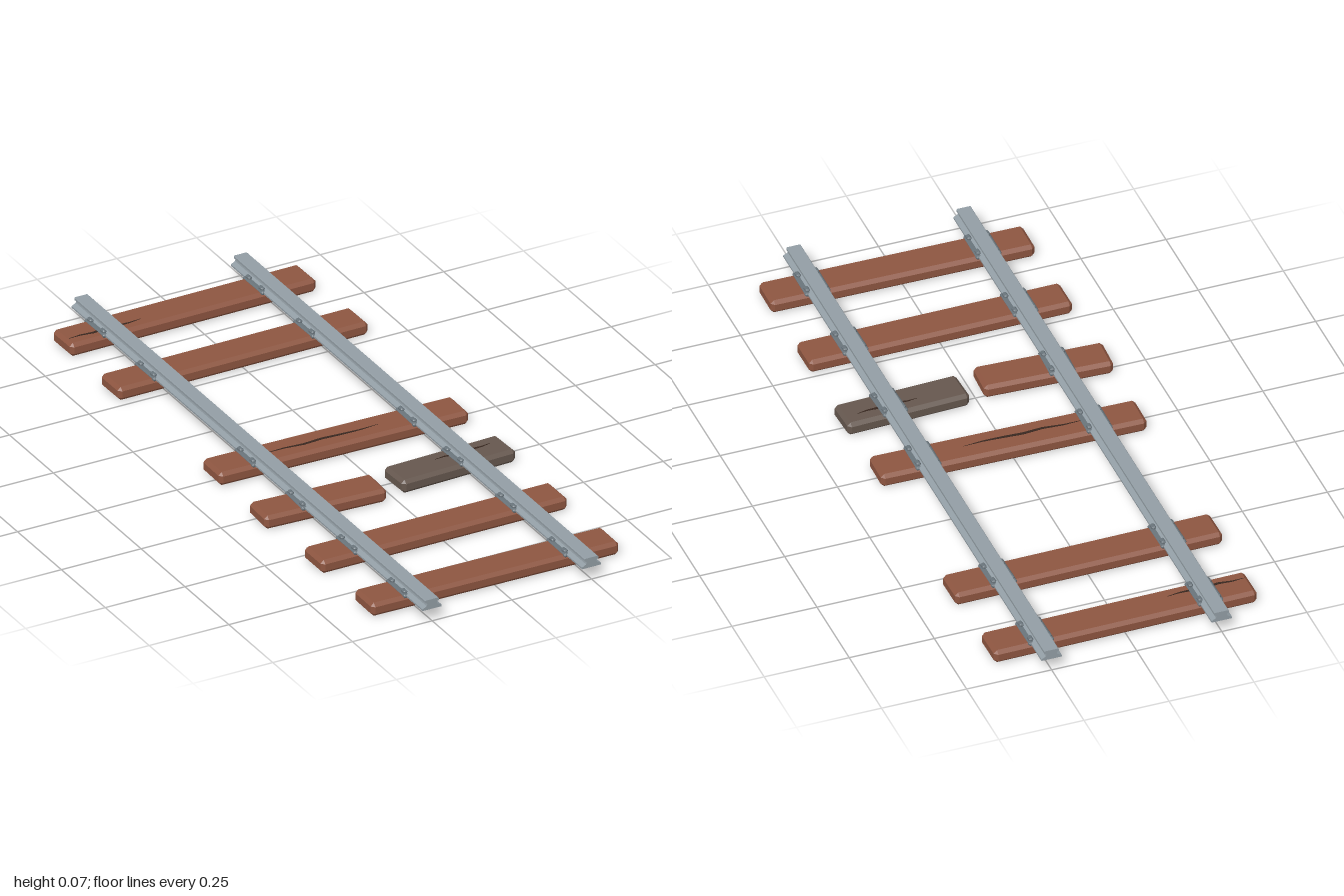
import * as THREE from 'three';
import { ConvexGeometry } from 'three/addons/geometries/ConvexGeometry.js';

const material = (name, color) => {
  const m = new THREE.MeshStandardMaterial({ color });
  m.name = name;
  return m;
};

// Box with every edge and corner cut off, centred on the origin
function chamferedBox(w, h, d, c) {
  const points = [];
  for (const sx of [-1, 1]) for (const sy of [-1, 1]) for (const sz of [-1, 1]) {
    const x = w / 2, y = h / 2, z = d / 2;
    points.push(
      new THREE.Vector3(sx * x, sy * (y - c), sz * (z - c)),
      new THREE.Vector3(sx * (x - c), sy * y, sz * (z - c)),
      new THREE.Vector3(sx * (x - c), sy * (y - c), sz * z));
  }
  return new ConvexGeometry(points);
}

// Rail cross-section: half outline from foot to head, mirrored
function railGeometry() {
  const half = [[0.03, 0.038], [0.03, 0.043], [0.017, 0.05], [0.015, 0.057],
    [0.021, 0.06], [0.021, 0.066], [0.019, 0.068]];
  const outline = [...half, ...half.map(([x, y]) => [-x, y]).reverse()];
  const shape = new THREE.Shape(outline.map(([x, y]) => new THREE.Vector2(x, y)));
  return new THREE.ExtrudeGeometry(shape, { depth: 2, bevelEnabled: false }).translate(0, 0, -1);
}

// Thin jagged split lying on top of a sleeper, tapering at both ends
function crackGeometry(length) {
  const n = 6, upper = [], lower = [];
  for (let i = 0; i <= n; i++) {
    const t = i / n, x = (t - 0.5) * length;
    const bend = 0.003 * Math.sin(i * 2.4);
    const width = 0.0045 * Math.sin(Math.PI * t);
    upper.push(new THREE.Vector2(x, bend + width));
    if (i > 0 && i < n) lower.unshift(new THREE.Vector2(x, bend - width));
  }
  return new THREE.ExtrudeGeometry(new THREE.Shape([...upper, ...lower]),
    { depth: 0.001, bevelEnabled: false }).rotateX(-Math.PI / 2);
}

export function createModel() {
  const model = new THREE.Group();
  model.name = 'brokenTrack';
  const wood = material('brownWood', 0x8d5540);
  const oldWood = material('weatheredWood', 0x65574e);
  const darkWood = material('crackBrown', 0x38271f);
  const steel = material('railSteel', 0x929da4);
  const iron = material('fasteningIron', 0x69747b);

  const add = (parent, name, geometry, mat, x = 0, y = 0, z = 0) => {
    const mesh = new THREE.Mesh(geometry, mat);
    mesh.name = name;
    mesh.position.set(x, y, z);
    parent.add(mesh);
    return mesh;
  };

  // Sleepers: end x and centre z at each end, with an optional crack [x, z offset, length]
  const sleepers = [
    { x0: -0.388, x1: 0.388, z0: -0.86, z1: -0.869, crack: [-0.262, 0.018, 0.23] },
    { x0: -0.395, x1: 0.393, z0: -0.574, z1: -0.582 },
    { x0: -0.388, x1: 0.388, z0: -0.01, z1: 0.003, crack: [-0.045, 0.005, 0.35] },
    { x0: -0.398, x1: -0.024, z0: 0.271, z1: 0.288 },
    { x0: 0.028, x1: 0.392, z0: 0.272, z1: 0.258, mat: oldWood, crack: [0.26, -0.012, 0.18] },
    { x0: -0.388, x1: 0.386, z0: 0.57, z1: 0.567 },
    { x0: -0.386, x1: 0.386, z0: 0.853, z1: 0.862 },
  ];
  const height = 0.041;
  const plate = chamferedBox(0.074, 0.012, 0.11, 0.004);
  const clip = chamferedBox(0.013, 0.014, 0.022, 0.004);

  for (const { x0, x1, z0, z1, mat = wood, crack } of sleepers) {
    const cx = (x0 + x1) / 2, cz = (z0 + z1) / 2;
    const sleeper = new THREE.Group();
    sleeper.name = 'sleeper';
    sleeper.position.set(cx, 0, cz);
    sleeper.rotation.y = -Math.atan2(z1 - z0, x1 - x0);
    model.add(sleeper);
    add(sleeper, 'beam', chamferedBox(x1 - x0, height, 0.108, 0.01), mat, 0, height / 2);
    if (crack) {
      add(sleeper, 'crack', crackGeometry(crack[2]), darkWood, crack[0] - cx, height, crack[1]);
    }

    // Base plate and four clips wherever a rail crosses
    for (const rx of [-0.25, 0.25]) {
      if (rx < x0 || rx > x1) continue;
      const fastening = new THREE.Group();
      fastening.name = 'railFastening';
      fastening.position.set(rx - cx, 0, 0);
      sleeper.add(fastening);
      add(fastening, 'basePlate', plate, iron, 0, 0.04);
      for (const sx of [-1, 1]) for (const sz of [-1, 1]) {
        add(fastening, 'clip', clip, iron, sx * 0.027, 0.047, sz * 0.036);
      }
    }
  }

  // Rails
  const rail = railGeometry();
  add(model, 'leftRail', rail, steel, 0.25);
  add(model, 'rightRail', rail, steel, -0.25);
  return model;
}
